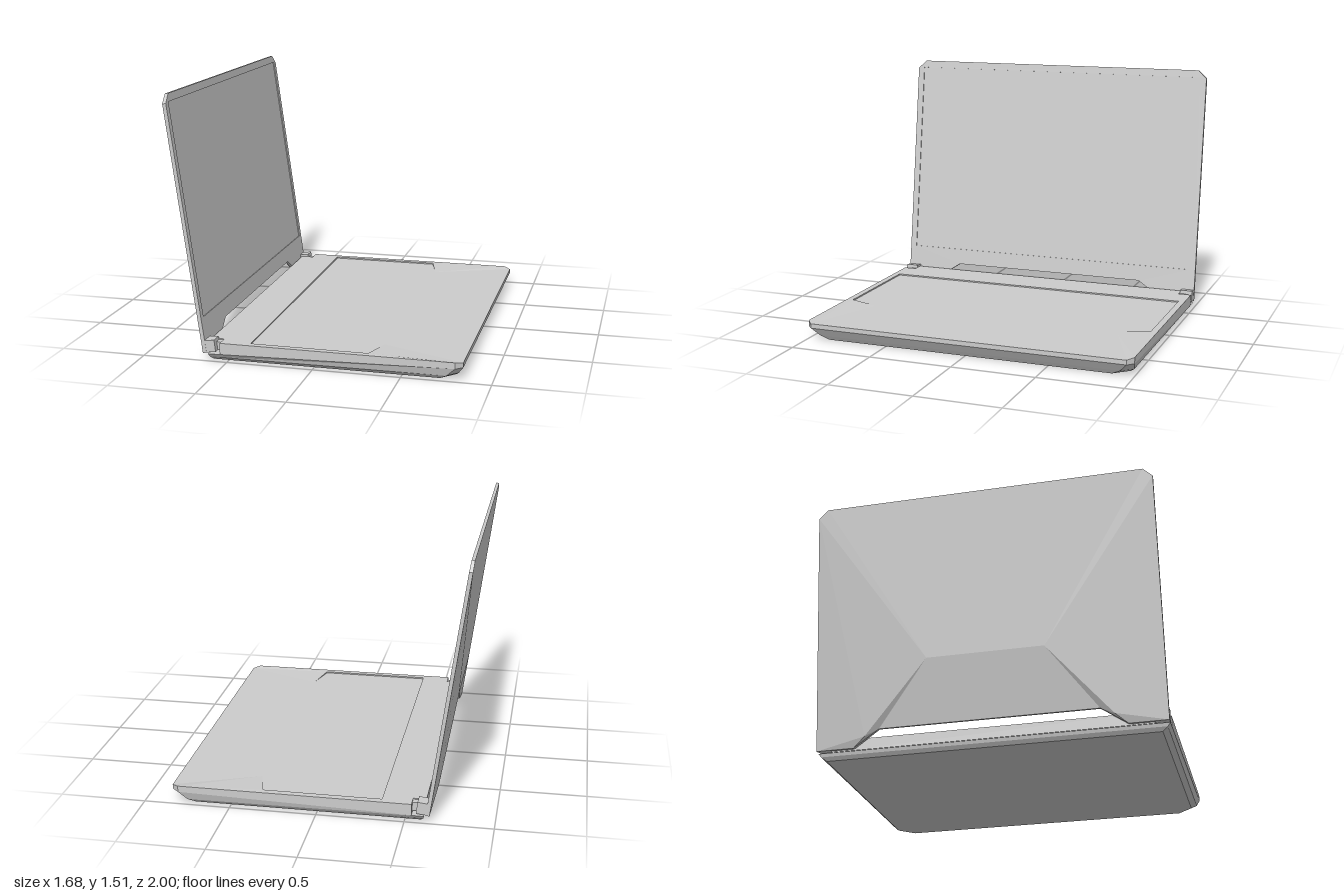
import * as THREE from 'three';

const material = new THREE.MeshStandardMaterial({ color: 0xcccccc, flatShading: true, side: THREE.DoubleSide });

function add(parent, name, geometry, x = 0, y = 0, z = 0) {
  const mesh = new THREE.Mesh(geometry, material);
  mesh.name = name;
  mesh.position.set(x, y, z);
  parent.add(mesh);
  return mesh;
}

const flip = ([x, y, z]) => [x, y, -z];
const mirrored = (half) => [...half, ...[...half].reverse().map(flip)];

// Collects convex faces, optionally mirrored across z = 0
class Faces {
  constructor() { this.data = []; }
  face(...p) {
    for (let i = 1; i < p.length - 1; i++) this.data.push(...p[0], ...p[i], ...p[i + 1]);
  }
  pair(...p) {
    this.face(...p);
    this.face(...[...p].reverse().map(flip));
  }
  // Wall between two closed loops with equal point counts
  wall(lower, upper) {
    lower.forEach((p, i) => {
      const j = (i + 1) % lower.length;
      this.face(p, lower[j], upper[j], upper[i]);
    });
  }
  geometry() {
    const g = new THREE.BufferGeometry();
    g.setAttribute('position', new THREE.Float32BufferAttribute(this.data, 3));
    g.computeVertexNormals();
    return g;
  }
}

const seamY = (x) => 0.042 + 0.033 * (x + 0.61) / 1.45;
const onSeam = ([x, z]) => [x, seamY(x), z];

// Bottom tray, narrowing downward with large cut front corners
function trayGeometry() {
  const f = new Faces();
  const bottom = mirrored([[-0.59, 0, 0.955], [0.71, 0, 0.955], [0.79, 0, 0.87]]);
  const middle = mirrored([[-0.605, 0.022, 0.985], [0.75, 0.026, 0.985], [0.808, 0.026, 0.92]]);
  const top = mirrored([[-0.61, 1], [0.80, 1], [0.84, 0.965]].map(onSeam));
  f.face(...[...bottom].reverse());
  f.wall(bottom, middle);
  f.wall(middle, top);
  f.face(...top);
  return f.geometry();
}

// Upper deck with hinge notches and a shallow keyboard recess open to the front
function deckGeometry() {
  const f = new Faces(), T = 0.11, F = 0.102;
  const plan = [[-0.615, 0.92], [-0.54, 0.92], [-0.54, 1], [0.80, 1], [0.84, 0.965]];
  const top = mirrored(plan.map(([x, z]) => [x, x > 0.82 ? F : T, z]));
  f.wall(mirrored(plan.map(onSeam)), top);
  // rim
  f.face(...mirrored([[-0.615, T, 0.92], [-0.54, T, 0.92]]));
  f.face(...mirrored([[-0.54, T, 1], [-0.37, T, 1]]));
  f.pair([-0.37, T, 1], [0.80, T, 1], [0.31, T, 0.96], [-0.37, T, 0.96]);
  // blend from rim down to the palm rest
  f.pair([0.31, T, 0.96], [0.80, T, 1], [0.84, F, 0.965], [0.36, F, 0.77]);
  // recess steps
  f.pair([-0.37, F, 0.96], [-0.37, T, 0.96], [0.31, T, 0.96], [0.31, F, 0.96]);
  f.pair([0.31, F, 0.96], [0.31, T, 0.96], [0.36, F, 0.77]);
  f.face([-0.37, F, 0.96], [-0.37, F, -0.96], [-0.37, T, -0.96], [-0.37, T, 0.96]);
  // recess floor
  f.face(...mirrored([[-0.37, F, 0.96], [0.31, F, 0.96], [0.36, F, 0.77]]));
  f.face(...mirrored([[0.36, F, 0.77], [0.84, F, 0.965]]));
  return f.geometry();
}

// Half outline of the lid as [z, height, back depth], from the bottom cutout to the top corner
const lidHalf = [[0.63, 0.10, 0.017], [0.78, 0, 0.022], [1, 0, 0.022], [1, 1.425, 0.021], [0.945, 1.475, 0.019]];
const BEZEL = 0.006;

// Gently bulged lid back with a trapezoid hollow above the cutout
function lidBackGeometry() {
  const f = new Faces();
  const back = lidHalf.map(([z, s, t]) => [-t, s, z]);
  const front = lidHalf.map(([z, s]) => [-BEZEL, s, z]);
  f.wall(mirrored(front), mirrored(back));
  const [e, d, c, b, a] = back;
  const ridge = [-0.043, 0.48, 0.34], shoulder = [-0.034, 0.06, 0.71];
  f.face(a, flip(a), flip(ridge), ridge);
  f.pair(b, a, ridge);
  f.pair(b, ridge, shoulder);
  f.pair(b, shoulder, c);
  f.pair(c, shoulder, d);
  f.pair(ridge, e, shoulder);
  f.pair(shoulder, e, d);
  f.face(ridge, flip(ridge), flip(e), e);
  return f.geometry();
}

// Front frame of the lid around the display
function bezelGeometry() {
  const outline = mirrored(lidHalf.map(([z, s]) => [0, s, z]));
  const shape = new THREE.Shape(outline.map(([, s, z]) => new THREE.Vector2(z, s)));
  const hole = [[-0.96, 0.2], [-0.96, 1.43], [0.96, 1.43], [0.96, 0.2]];
  shape.holes.push(new THREE.Path(hole.map(([z, s]) => new THREE.Vector2(z, s))));
  return new THREE.ExtrudeGeometry(shape, { depth: BEZEL, bevelEnabled: false }).rotateY(Math.PI / 2);
}

export function createModel() {
  const model = new THREE.Group();
  model.name = 'laptop';

  const base = new THREE.Group();
  base.name = 'base';
  add(base, 'bottomTray', trayGeometry());
  add(base, 'keyboardDeck', deckGeometry());
  model.add(base);

  // Lid leaning back about its lower edge
  const lid = new THREE.Group();
  lid.name = 'lid';
  lid.position.set(-0.619, 0.048, 0);
  lid.rotation.z = 0.14;
  add(lid, 'lidBack', lidBackGeometry());
  add(lid, 'screenBezel', bezelGeometry(), -BEZEL);
  add(lid, 'screen', new THREE.PlaneGeometry(1.92, 1.23).rotateY(Math.PI / 2), -0.005, 0.815, 0);
  model.add(lid);

  // Hinges
  for (const side of [1, -1]) {
    const name = side > 0 ? 'left' : 'right';
    const block = add(model, name + 'HingeBlock', new THREE.BoxGeometry(0.068, 0.07, 0.078), -0.603, 0.087, side * 0.96);
    block.rotation.z = 0.12;
    add(model, name + 'HingeArm', new THREE.BoxGeometry(0.05, 0.05, 0.04), -0.563, 0.08, side * 0.942);
  }
  return model;
}
